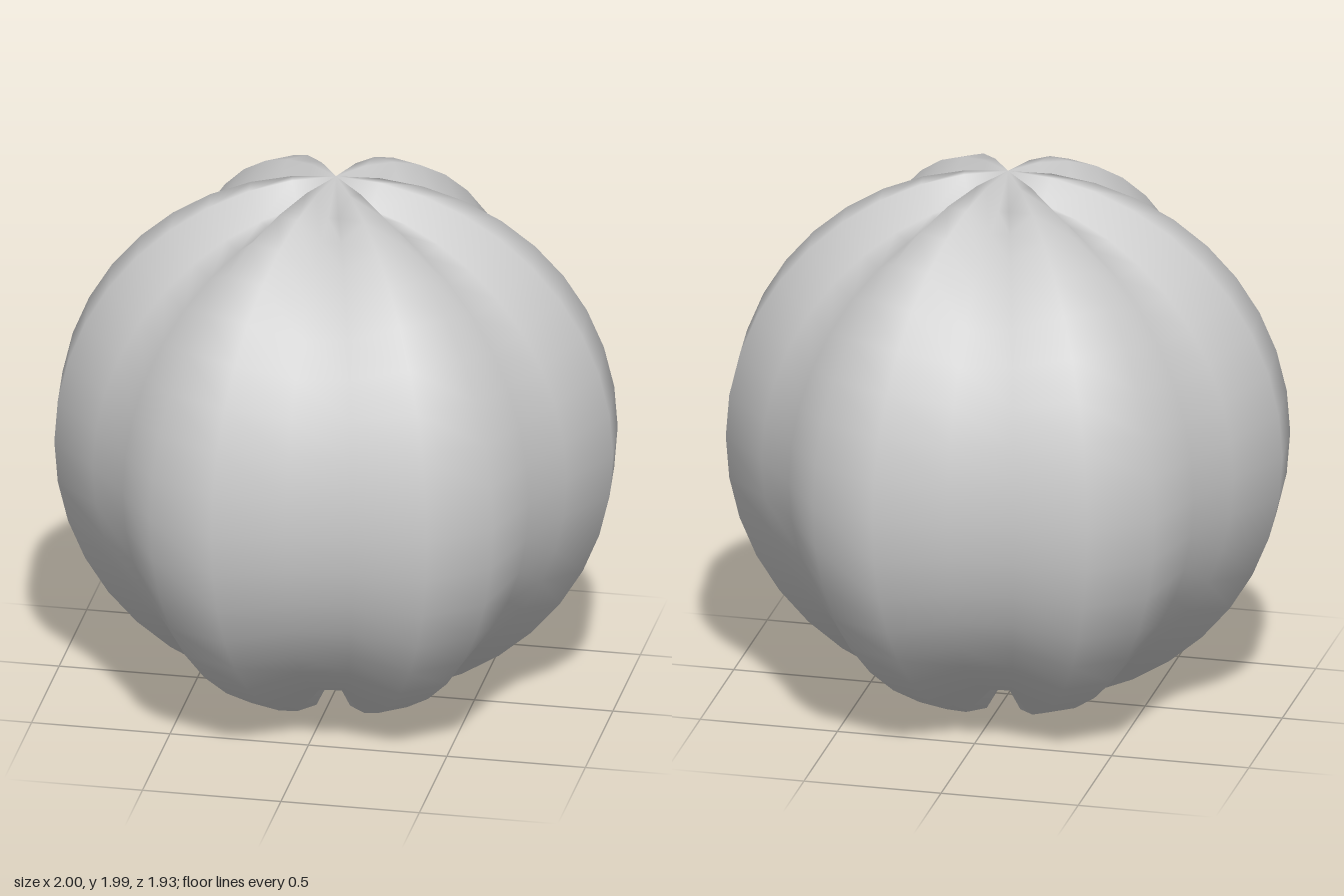
import * as THREE from 'three';
import { mergeVertices } from 'three/addons/utils/BufferGeometryUtils.js';

const SEGMENTS = 24, RINGS = 20;
const CREST = 1, VALLEY = 0.91;

// Sphere whose columns alternate in pairs between crests and valleys, giving six lobes
function lobedSphere() {
  const geometry = new THREE.SphereGeometry(1, SEGMENTS, RINGS);
  const position = geometry.attributes.position;
  const point = new THREE.Vector3();
  for (let i = 0; i < position.count; i++) {
    const ring = Math.floor(i / (SEGMENTS + 1));
    const column = (i % (SEGMENTS + 1)) % SEGMENTS;
    let radius = column % 4 < 2 ? CREST : VALLEY;
    if (ring === 0) radius = CREST;           // raised top point
    if (ring === RINGS) radius = VALLEY;      // dimpled underside
    point.fromBufferAttribute(position, i).multiplyScalar(radius);
    position.setXYZ(i, point.x, point.y, point.z);
  }
  // Weld the seam and poles so the shading is continuous
  geometry.deleteAttribute('normal');
  geometry.deleteAttribute('uv');
  const welded = mergeVertices(geometry, 1e-4);
  welded.computeVertexNormals();
  return welded;
}

export function createModel() {
  const group = new THREE.Group();
  const material = new THREE.MeshStandardMaterial({ color: 0xcccccc });
  const body = new THREE.Mesh(lobedSphere(), material);
  body.name = 'lobedBody';
  body.position.y = 1;
  group.add(body);
  return group;
}
